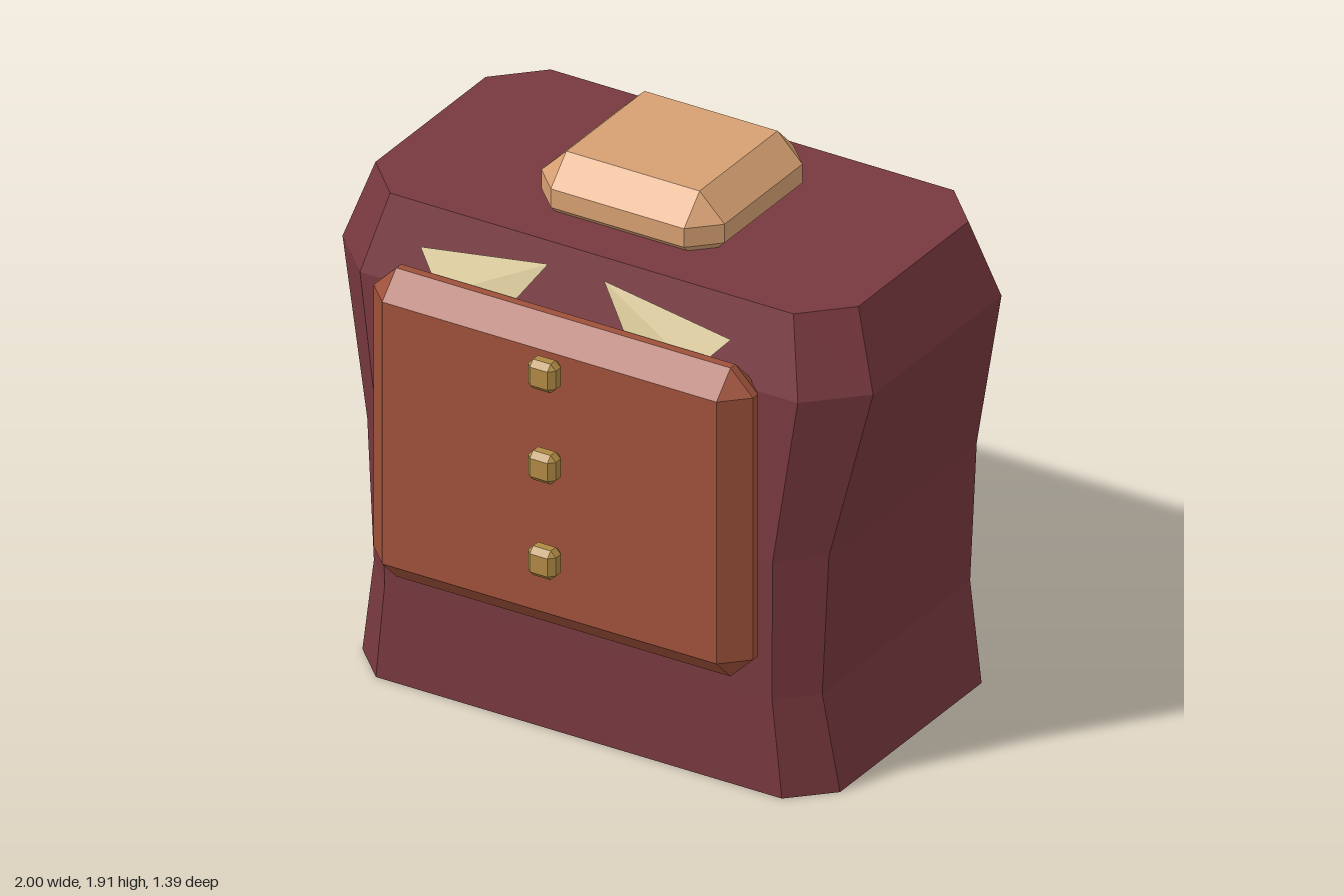
import * as THREE from 'three';
import { ConvexGeometry } from 'three/addons/geometries/ConvexGeometry.js';

const material = (name, color, side = THREE.FrontSide) => {
  const m = new THREE.MeshStandardMaterial({ color, flatShading: true, side });
  m.name = name;
  return m;
};

// Box with every edge chamfered by c; hx, hy, hz are half sizes
function chamferedBox(hx, hy, hz, c) {
  const points = [];
  for (const x of [-1, 1]) for (const y of [-1, 1]) for (const z of [-1, 1]) {
    points.push(
      new THREE.Vector3(x * hx, y * (hy - c), z * (hz - c)),
      new THREE.Vector3(x * (hx - c), y * hy, z * (hz - c)),
      new THREE.Vector3(x * (hx - c), y * (hy - c), z * hz));
  }
  return new ConvexGeometry(points);
}

function facetedGeometry(positions, index) {
  const indexed = new THREE.BufferGeometry();
  indexed.setAttribute('position', new THREE.Float32BufferAttribute(positions, 3));
  indexed.setIndex(index);
  const g = indexed.toNonIndexed();
  g.computeVertexNormals();
  return g;
}

// Torso: octagonal rings [y, half width, flat half width, half depth, flat half depth]
function torsoGeometry() {
  const rings = [
    [0, 0.9, 0.765, 0.563, 0.428],
    [0.35, 0.845, 0.73, 0.566, 0.447],
    [0.86, 0.87, 0.74, 0.58, 0.447],
    [1.46, 1.0, 0.825, 0.563, 0.388],
    [1.73, 0.91, 0.76, 0.485, 0.333],
  ];
  const positions = [], index = [], n = 8;
  for (const [y, hx, ix, hz, iz] of rings) {
    for (const [x, z] of [[hx, iz], [ix, hz], [-ix, hz], [-hx, iz],
      [-hx, -iz], [-ix, -hz], [ix, -hz], [hx, -iz]]) positions.push(x, y, z);
  }
  for (let r = 0; r < rings.length - 1; r++) {
    for (let i = 0; i < n; i++) {
      const a = r * n + i, b = r * n + (i + 1) % n;
      index.push(a, a + n, b + n, a, b + n, b);
    }
  }
  const top = (rings.length - 1) * n;
  for (let i = 1; i < n - 1; i++) {
    index.push(0, i, i + 1, top, top + i + 1, top + i);
  }
  return facetedGeometry(positions, index);
}

// Collar flap on one side; its lower edge tucks into the front panel
function collarGeometry(s) {
  const positions = [
    s * 0.105, 1.705, 0.468,
    s * 0.585, 1.63, 0.47,
    s * 0.48, 1.515, 0.525,
    s * 0.24, 1.515, 0.52,
  ];
  return facetedGeometry(positions, s > 0 ? [0, 3, 2, 0, 2, 1] : [0, 2, 3, 0, 1, 2]);
}

export function createModel() {
  const model = new THREE.Group();
  model.name = 'torso';
  const maroon = material('maroon cloth', 0x78393f);
  const skin = material('skin', 0xd6a072);
  const leather = material('brown leather', 0x9e513a);
  const brass = material('brass', 0xb08a45);
  const cream = material('cream linen', 0xdccb9c, THREE.DoubleSide);

  const add = (name, geometry, mat, x, y, z) => {
    const mesh = new THREE.Mesh(geometry, mat);
    mesh.name = name;
    mesh.position.set(x, y, z);
    model.add(mesh);
  };

  add('body', torsoGeometry(), maroon, 0, 0, -0.112);
  add('neck', chamferedBox(0.345, 0.128, 0.33, 0.094), skin, 0, 1.787, -0.112);
  add('frontPanel', chamferedBox(0.715, 0.5625, 0.1, 0.085), leather, 0, 1.0125, 0.53);

  // Row of buttons down the panel
  const button = chamferedBox(0.053, 0.053, 0.035, 0.02);
  [1.423, 1.09, 0.742].forEach((y, i) => add(`button${i + 1}`, button, brass, 0, y, 0.66));

  add('leftCollar', collarGeometry(1), cream, 0, 0, 0);
  add('rightCollar', collarGeometry(-1), cream, 0, 0, 0);
  return model;
}
